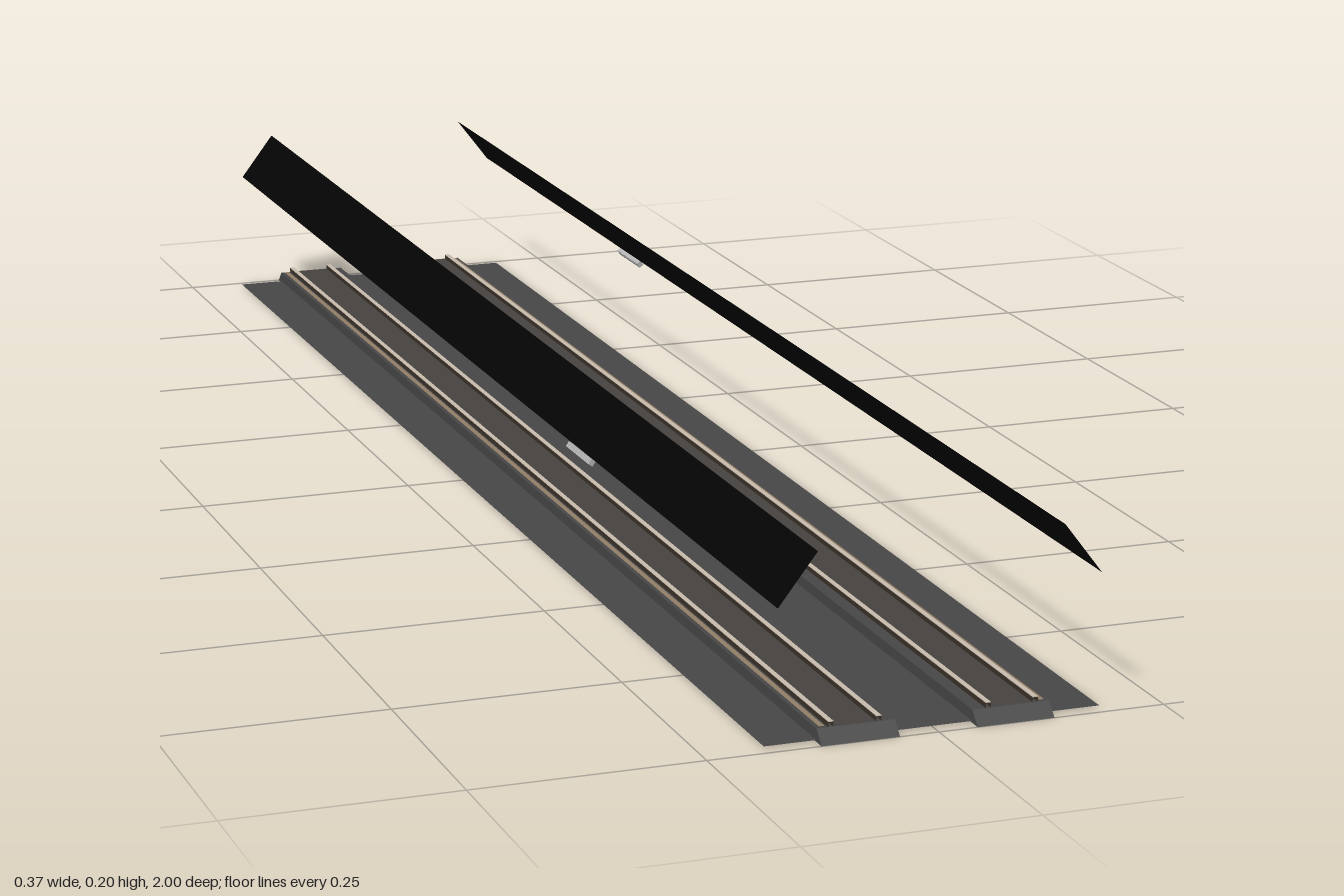
import * as THREE from 'three';
import { mergeGeometries } from 'three/addons/utils/BufferGeometryUtils.js';

const mat = (name, color, side = THREE.FrontSide) => {
  const m = new THREE.MeshStandardMaterial({ color, side });
  m.name = name;
  return m;
};

export function createModel() {
  const concrete = mat('concrete grey', 0x474747, THREE.DoubleSide);
  const ballast = mat('warm bed grey', 0x464340);
  const black = mat('panel black', 0x040404, THREE.DoubleSide);
  const steel = mat('rail head light tan', 0xc9bdae);
  const rust = mat('rail side brown', 0x3a3128, THREE.DoubleSide);
  const tan = mat('edge strip tan', 0x947f69, THREE.DoubleSide);
  const grey = mat('fixture light grey', 0xb4b4b4);

  const model = new THREE.Group();
  const add = (parent, name, geo, material) => {
    const mesh = new THREE.Mesh(geo, material);
    mesh.name = name;
    parent.add(mesh);
  };
  const box = (w, h, d, x, y, z) => new THREE.BoxGeometry(w, h, d).translate(x, y, z);

  // Strip running along z between two points of the x-y section, facing up for x0 < x1
  const strip = (x0, y0, x1, y1, length) => {
    const h = length / 2;
    const geo = new THREE.BufferGeometry();
    geo.setAttribute('position', new THREE.Float32BufferAttribute(
      [x0, y0, h, x1, y1, h, x1, y1, -h, x0, y0, -h], 3));
    geo.setIndex([0, 1, 2, 0, 2, 3]);
    geo.computeVertexNormals();
    return geo;
  };

  // Flat ground sheet
  add(model, 'groundSheet', strip(-0.184, 0.002, 0.184, 0.002, 1.972), concrete);

  // One half: track bed, rails, slanted panel and its fixture on the +x side
  const makeSide = (name) => {
    const side = new THREE.Group();
    side.name = name;

    // Bed with sloping ends
    const section = new THREE.Shape([[-1, 0], [1, 0], [0.986, 0.014], [-0.986, 0.014]]
      .map(([z, y]) => new THREE.Vector2(z, y)));
    const bed = new THREE.ExtrudeGeometry(section, { depth: 0.085, bevelEnabled: false });
    bed.rotateY(-Math.PI / 2).translate(0.1275, 0, 0);
    add(side, 'trackBed', bed, concrete);

    // Warmer surface between the rails
    add(side, 'bedSurface', strip(0.064, 0.0146, 0.108, 0.0146, 1.97), ballast);

    // Running rails: thin light head over open-ended brown sides
    for (const x of [0.06, 0.112]) {
      const w = 0.0028;
      add(side, 'railHead', box(2 * w, 0.0008, 1.972, x, 0.0198, 0), steel);
      add(side, 'railSides', mergeGeometries([
        strip(x - w, 0.014, x - w, 0.0195, 1.972),
        strip(x + w, 0.0195, x + w, 0.014, 1.972)]), rust);
    }

    // Flat strip along the outer edge of the bed
    add(side, 'edgeStrip', strip(0.1175, 0.0148, 0.1235, 0.0148, 1.965), tan);

    // Slanted upper panel
    add(side, 'slantedPanel', strip(0.134, 0.205, 0.176, 0.15, 2), black);

    // Small ribbed fixture hung under the lower edge of the panel
    const fixture = new THREE.Group();
    fixture.name = 'panelFixture';
    fixture.position.set(0.1765, 0.1457, -0.41);
    fixture.rotation.z = 0.6;
    const parts = [box(0.006, 0.0065, 0.075, 0, 0, 0)];
    for (let i = -4; i <= 4; i++) parts.push(box(0.0072, 0.005, 0.004, 0, 0, i * 0.008));
    add(fixture, 'fixtureBody', mergeGeometries(parts), grey);
    side.add(fixture);
    return side;
  };

  // The other half is the same, turned half way round
  const left = makeSide('leftTrack');
  const right = makeSide('rightTrack');
  right.rotation.y = Math.PI;
  model.add(left, right);
  return model;
}
